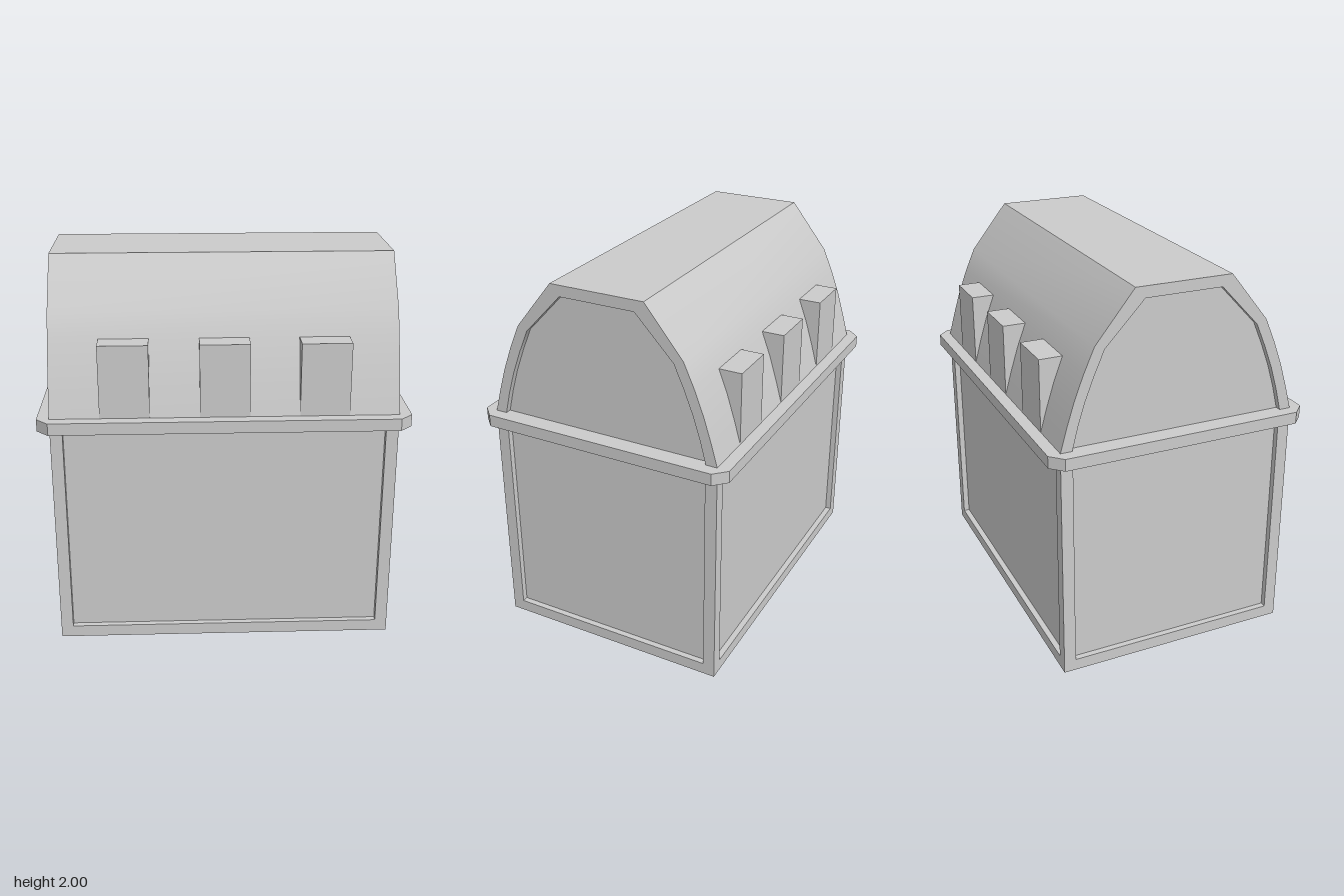
import * as THREE from 'three';
import { toCreasedNormals } from 'three/addons/utils/BufferGeometryUtils.js';

const W = 0.875, D = 0.625;   // half width and half depth of the house
const TRIM = 0.0625;          // frame width
const INSET = 0.031;          // panel recess
const EAVE = 1.25;

const material = new THREE.MeshStandardMaterial({ color: 0xcccccc });

export function createModel() {
  const model = new THREE.Group();

  const add = (parent, name, geometry) => {
    const mesh = new THREE.Mesh(geometry, material);
    mesh.name = name;
    parent.add(mesh);
    return mesh;
  };
  const box = (parent, name, w, h, d, x, y, z) =>
    add(parent, name, new THREE.BoxGeometry(w, h, d)).position.set(x, y, z);
  const group = (name) => {
    const g = new THREE.Group();
    g.name = name;
    model.add(g);
    return g;
  };

  // Walls: recessed core framed by a base slab and four corner posts
  const walls = group('walls');
  const wallTop = EAVE - TRIM;
  const wallH = wallTop - TRIM;
  const wallY = (wallTop + TRIM) / 2;
  box(walls, 'baseSlab', 2 * W, TRIM, 2 * D, 0, TRIM / 2, 0);
  box(walls, 'wallPanels', 2 * (W - INSET), wallH, 2 * (D - INSET), 0, wallY, 0);
  for (const sx of [-1, 1]) for (const sz of [-1, 1]) {
    box(walls, 'cornerPost', TRIM, wallH, TRIM, sx * (W - TRIM / 2), wallY, sz * (D - TRIM / 2));
  }

  // Eave band with chamfered corners
  const bx = W + TRIM, bz = D + TRIM;
  const bandShape = new THREE.Shape([
    [bx, -D], [bx, D], [W, bz], [-W, bz], [-bx, D], [-bx, -D], [-W, -bz], [W, -bz],
  ].map(([x, y]) => new THREE.Vector2(x, y)));
  const band = new THREE.ExtrudeGeometry(bandShape, { depth: TRIM, bevelEnabled: false });
  band.rotateX(-Math.PI / 2).translate(0, wallTop, 0);
  add(model, 'eaveBand', band);

  // Roof: half profiles (z, y) mirrored and extruded along x
  const outer = [[0.625, EAVE], [0.592, 1.37], [0.552, 1.5], [0.505, 1.625], [0.45, 1.75], [0.25, 2]];
  const inner = [[0.565, EAVE], [0.535, 1.37], [0.498, 1.49], [0.452, 1.61], [0.4, 1.73], [0.2, 1.9425]];
  const arch = (half) => [...half, ...half.map(([z, y]) => [-z, y]).reverse()]
    .map(([z, y]) => new THREE.Vector2(z, y));
  const prism = (points, length) => {
    const g = new THREE.ExtrudeGeometry(new THREE.Shape(points), { depth: length, bevelEnabled: false });
    g.translate(0, 0, -length / 2).rotateY(Math.PI / 2);
    return toCreasedNormals(g, THREE.MathUtils.degToRad(35));
  };
  const roof = group('roof');
  add(roof, 'roofShell', prism([...arch(outer), ...arch(inner).reverse()], 2 * W));
  add(roof, 'gablePanels', prism(arch(inner), 2 * (W - INSET)));

  // Three dormers on each long side
  const dormers = group('dormers');
  const dormerH = 0.375, dormerD = 0.18;
  for (const sz of [-1, 1]) for (const x of [-0.5, 0, 0.5]) {
    box(dormers, 'dormer', 0.25, dormerH, dormerD, x, EAVE + dormerH / 2, sz * (D - dormerD / 2));
  }

  return model;
}
